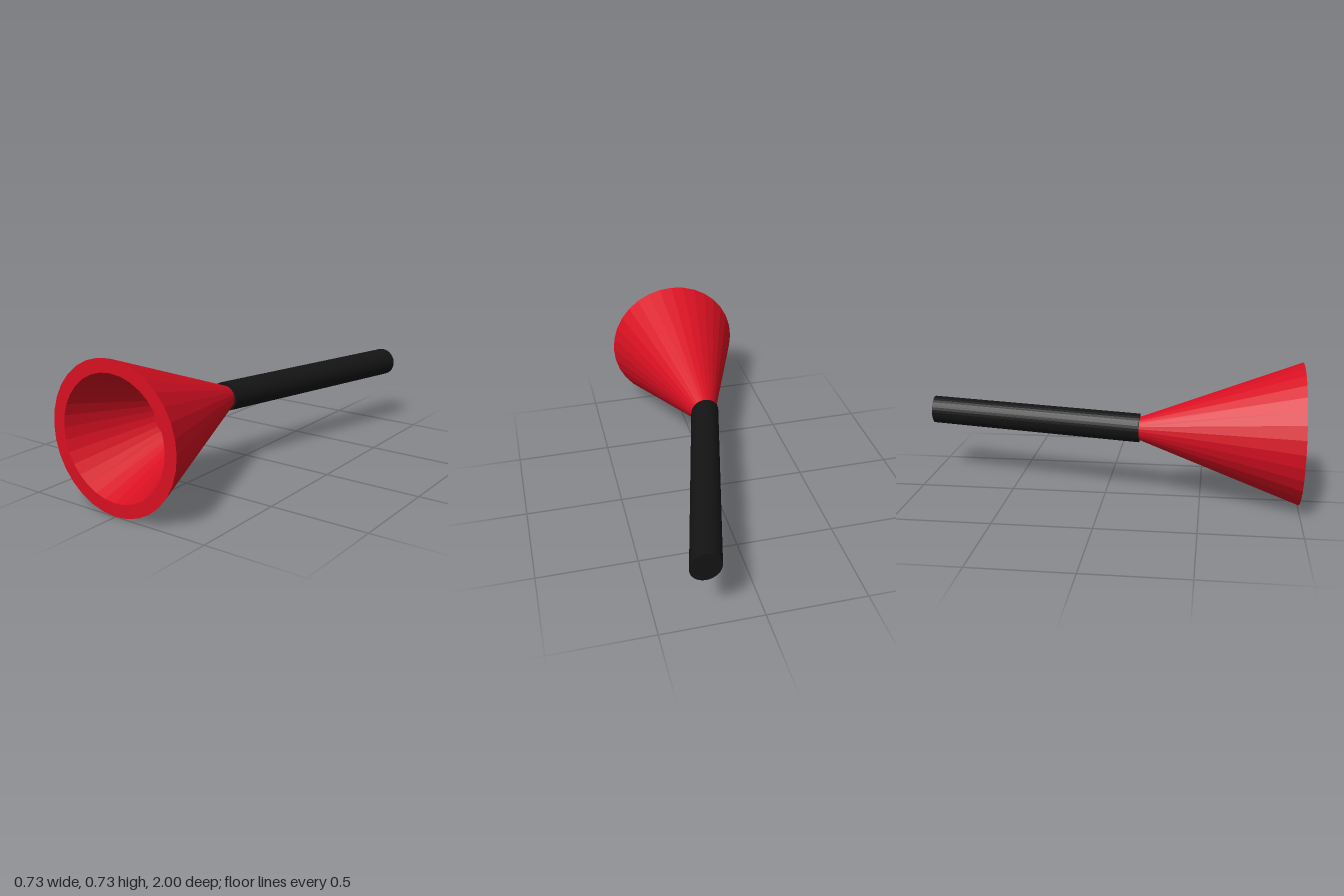
import * as THREE from 'three';

const AXIS_Y = 0.364;
const SIDES = 32;

export function createModel() {
  const model = new THREE.Group();
  const red = new THREE.MeshStandardMaterial({ color: 0xd81022, flatShading: true });
  const black = new THREE.MeshStandardMaterial({ color: 0x141414, flatShading: true });

  // Flared horn: closed neck, outer wall, flat rim, recessed cup with a flat floor
  const profile = [
    [0, 0.18], [0.06, 0.18], [0.363, 1], [0.298, 1], [0.137, 0.57], [0, 0.57],
  ].map(([r, z]) => new THREE.Vector2(r, z));
  const hornGeometry = new THREE.LatheGeometry(profile, SIDES);
  hornGeometry.rotateX(Math.PI / 2);
  const horn = new THREE.Mesh(hornGeometry, red);
  horn.name = 'horn';
  horn.position.y = AXIS_Y;
  model.add(horn);

  // Handle: a round bar sheared sideways, so both ends stay square to z
  const front = new THREE.Vector3(-0.002, 0.367, 0.18);
  const back = new THREE.Vector3(0.28, 0.355, -1);
  const handleGeometry = new THREE.CylinderGeometry(0.075, 0.075, 1, SIDES);
  handleGeometry.rotateX(Math.PI / 2);
  const p = handleGeometry.attributes.position;
  for (let i = 0; i < p.count; i++) {
    const c = front.clone().lerp(back, 0.5 - p.getZ(i));
    p.setXYZ(i, p.getX(i) + c.x, p.getY(i) + c.y, c.z);
  }
  handleGeometry.computeVertexNormals();
  const handle = new THREE.Mesh(handleGeometry, black);
  handle.name = 'handle';
  model.add(handle);

  return model;
}
